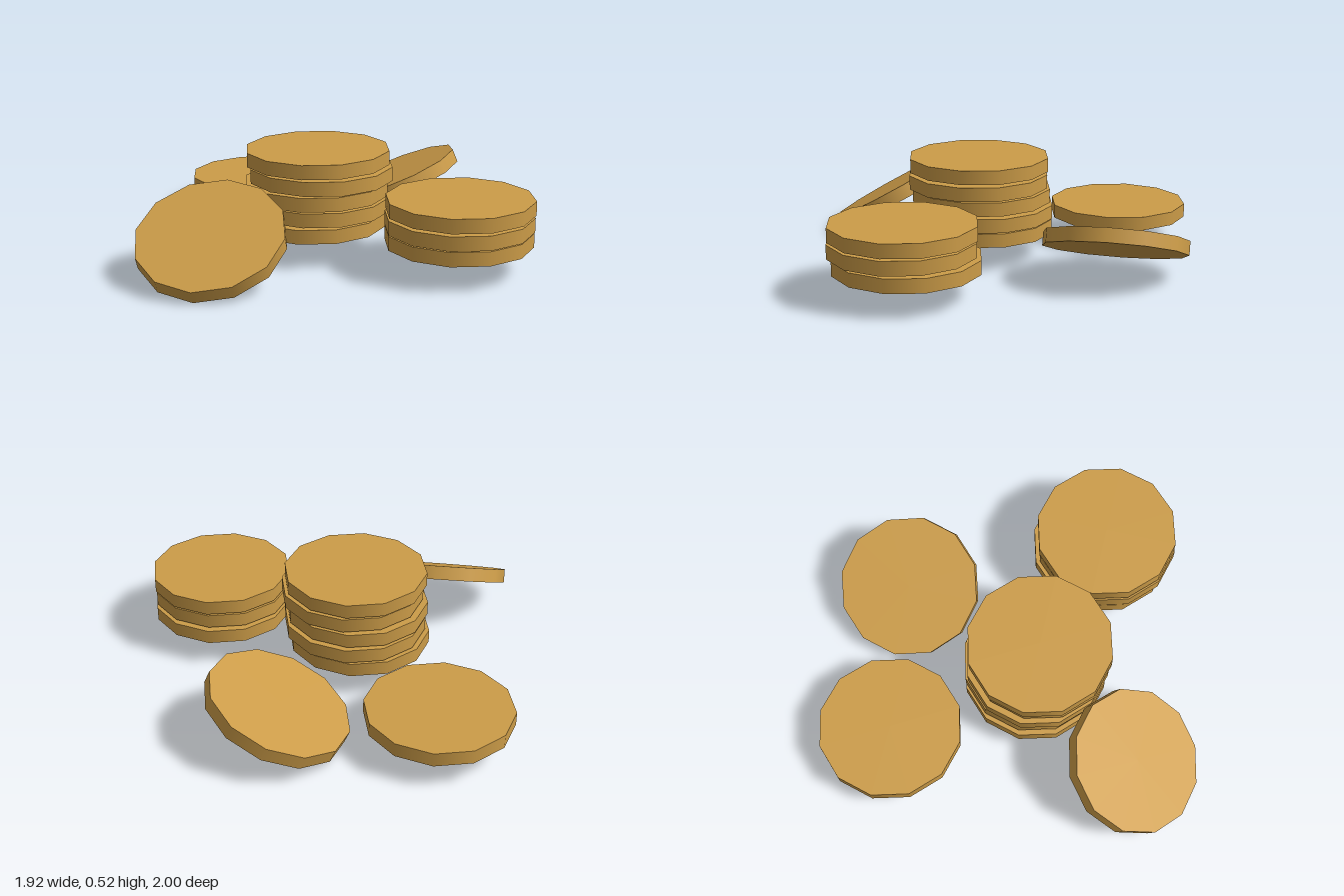
import * as THREE from 'three';

const RADIUS = 0.358, THICK = 0.07, STEP = 0.081, BASE = 0.165;

export function createModel() {
  const model = new THREE.Group();
  model.name = 'coinPile';

  const gold = new THREE.MeshStandardMaterial({ color: 0xcc9c48 });
  gold.name = 'gold';
  const coinGeometry = new THREE.CylinderGeometry(RADIUS, RADIUS, THICK, 12);

  function addCoin(parent, name, x, y, z) {
    const coin = new THREE.Mesh(coinGeometry, gold);
    coin.name = name;
    coin.position.set(x, y, z);
    parent.add(coin);
    return coin;
  }

  // Slightly uneven stack, listed bottom to top as [x, z]
  function addStack(name, centres) {
    const stack = new THREE.Group();
    stack.name = name;
    centres.forEach(([x, z], i) => addCoin(stack, `${name}Coin${i + 1}`, x, BASE + i * STEP, z));
    model.add(stack);
  }

  addStack('tallStack', [[-0.15, 0.085], [-0.128, 0.078], [-0.136, 0.093], [-0.11, 0.102], [-0.126, 0.102]]);
  addStack('shortStack', [[0.597, 0.271], [0.6, 0.292], [0.603, 0.287]]);

  // Single coin lying flat
  addCoin(model, 'flatCoin', -0.606, BASE, -0.548);

  // Two coins leaning at an angle
  const deg = THREE.MathUtils.degToRad;
  addCoin(model, 'frontLeaningCoin', -0.511, 0.207, 0.665).rotation.x = deg(29.2);
  addCoin(model, 'backLeaningCoin', 0.144, 0.186, -0.643).rotation.z = deg(22.8);

  return model;
}
